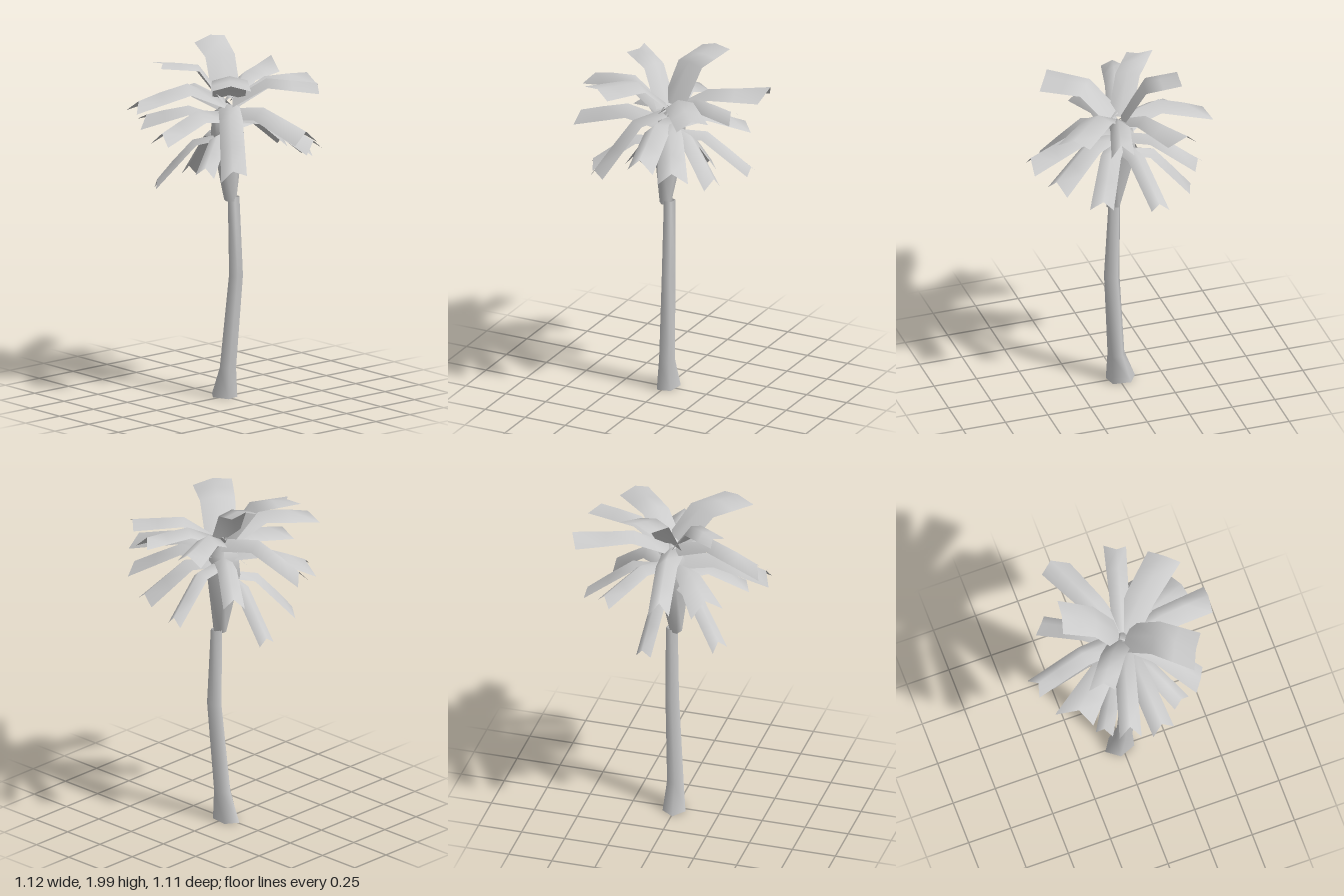
import * as THREE from 'three';

const V = (p) => new THREE.Vector3(...p);

// Smooth surface over a grid of points, rows x cols
function gridGeometry(rows, closed) {
  const cols = rows[0].length;
  const pos = rows.flat().flatMap((p) => [p.x, p.y, p.z]);
  const index = [];
  for (let r = 0; r < rows.length - 1; r++) {
    for (let c = 0; c < (closed ? cols : cols - 1); c++) {
      const n = (c + 1) % cols;
      const a = r * cols + c, b = r * cols + n, d = a + cols, e = b + cols;
      index.push(a, d, b, b, d, e);
    }
  }
  const g = new THREE.BufferGeometry();
  g.setAttribute('position', new THREE.Float32BufferAttribute(pos, 3));
  g.setIndex(index);
  g.computeVertexNormals();
  return g;
}

// Five-sided tube through rings of [y, centre x, centre z, radius x, radius z], first corner at an angle
function loft(rings, degrees) {
  const start = THREE.MathUtils.degToRad(degrees);
  return gridGeometry(rings.map(([y, cx, cz, rx, rz]) =>
    Array.from({ length: 5 }, (_, i) => {
      const t = start - i / 5 * Math.PI * 2;
      return new THREE.Vector3(cx + rx * Math.cos(t), y, cz + rz * Math.sin(t));
    })), true);
}

// Leaf from the crown to two tip corners, bent once along its length and folded along its ridge
function frondGeometry(rootY, rootWidth, arch, fold, notch, cornerA, cornerB) {
  const a = V(cornerA), b = V(cornerB);
  const tip = a.clone().add(b).multiplyScalar(0.5);
  const out = new THREE.Vector3(tip.x, 0, tip.z).normalize();
  const root = new THREE.Vector3(0.01, rootY, -0.02).addScaledVector(out, 0.03);
  const dir = tip.clone().sub(root).normalize();
  const side = b.clone().sub(a);
  const tipWidth = side.length();
  const up = new THREE.Vector3().crossVectors(dir, side).normalize();
  if (up.y < 0) { up.negate(); side.negate(); }
  side.normalize();
  const flat = new THREE.Vector3().crossVectors(up, dir).normalize();
  const rows = [0, 0.4, 0.7, 1].map((t) => {
    const centre = root.clone().lerp(tip, t);
    centre.y += arch * Math.min(t / 0.4, (1 - t) / 0.6);
    const half = THREE.MathUtils.lerp(rootWidth, tipWidth, t) / 2;
    const s = flat.clone().lerp(side, t).normalize();
    const ridge = centre.clone().addScaledVector(up, half * fold);
    if (t === 1) ridge.addScaledVector(dir, -notch);
    return [centre.clone().addScaledVector(s, -half), ridge, centre.clone().addScaledVector(s, half)];
  });
  return gridGeometry(rows, false);
}

export function createModel() {
  const model = new THREE.Group();
  const material = new THREE.MeshStandardMaterial({ color: 0xcccccc, side: THREE.DoubleSide });
  const add = (name, geometry, parent = model) => {
    const mesh = new THREE.Mesh(geometry, material);
    mesh.name = name;
    parent.add(mesh);
  };

  // Leaning trunk with a flared foot
  add('trunk', loft([
    [0, -0.013, -0.004, 0.088, 0.067],
    [0.17, 0.0145, -0.007, 0.05, 0.049],
    [0.7, 0.05, -0.036, 0.046, 0.04],
    [1.15, 0.034, -0.034, 0.035, 0.035],
  ], 315));

  // Flared sheath from which the leaves grow
  add('crownSheath', loft([
    [1.13, 0.034, -0.012, 0.038, 0.034],
    [1.5, -0.003, -0.02, 0.098, 0.097],
    [1.62, -0.005, -0.02, 0.085, 0.085],
    [1.68, -0.005, -0.02, 0.002, 0.002],
  ], 225));

  // Leaves: root height, root width, bend, fold depth, notch, two tip corners
  const upper = [
    [1.70, 0.17, 0.11, 0.25, -0.01, [-0.29, 1.98, -0.25], [-0.325, 1.96, -0.06]],
    [1.68, 0.13, 0.11, 0.4, 0.03, [-0.30, 1.91, 0.29], [-0.16, 1.90, 0.33]],
    [1.68, 0.15, 0.08, 0.4, 0, [0.31, 1.78, -0.42], [0.46, 1.77, -0.30]],
    [1.71, 0.18, 0.09, 0.25, 0, [0.41, 1.85, 0.16], [0.30, 1.86, 0.36]],
    [1.67, 0.10, 0.06, 0.75, -0.05, [-0.29, 1.76, -0.50], [-0.12, 1.76, -0.51]],
    [1.67, 0.10, 0.06, 0.9, 0.03, [0.09, 1.77, -0.54], [0.21, 1.75, -0.50]],
    [1.66, 0.11, 0.09, 1, 0.04, [-0.21, 1.69, 0.54], [-0.09, 1.69, 0.57]],
  ];
  const middle = [
    [1.60, 0.13, 0.06, 0.9, 0.01, [0.56, 1.53, -0.20], [0.555, 1.53, -0.04]],
    [1.65, 0.12, 0.08, 1, 0.04, [-0.56, 1.57, 0], [-0.53, 1.57, 0.115]],
    [1.58, 0.12, 0.06, 1, 0.03, [-0.01, 1.53, 0.54], [0.12, 1.53, 0.52]],
    [1.58, 0.09, 0.06, 0.5, 0.05, [-0.48, 1.54, 0.23], [-0.30, 1.53, 0.36]],
    [1.60, 0.12, 0.06, 0.7, 0.02, [0.48, 1.44, -0.19], [0.42, 1.45, -0.35]],
    [1.58, 0.10, 0.06, 0.8, 0.02, [-0.41, 1.48, -0.27], [-0.33, 1.48, -0.36]],
    [1.66, 0.12, 0.09, 0.6, 0.02, [0.41, 1.37, 0.19], [0.33, 1.335, 0.31]],
  ];
  const lower = [
    [1.54, 0.10, 0.08, 0.8, 0.02, [-0.13, 1.35, -0.50], [-0.03, 1.35, -0.49]],
    [1.56, 0.10, 0.08, 0.8, 0.02, [0.17, 1.36, -0.42], [0.30, 1.37, -0.39]],
    [1.48, 0.09, 0.09, 0.8, 0.02, [-0.40, 1.20, -0.03], [-0.38, 1.19, -0.12]],
    [1.48, 0.09, 0.08, 0.7, 0.04, [-0.26, 1.20, 0.29], [-0.18, 1.21, 0.35]],
    [1.49, 0.09, 0.07, 0.8, 0.02, [0.18, 1.36, 0.37], [0.28, 1.35, 0.32]],
  ];
  const tiers = { upperFronds: upper, middleFronds: middle, lowerFronds: lower };
  for (const [name, list] of Object.entries(tiers)) {
    const group = new THREE.Group();
    group.name = name;
    model.add(group);
    list.forEach((f, i) => add(`frond${i + 1}`, frondGeometry(...f), group));
  }
  return model;
}
